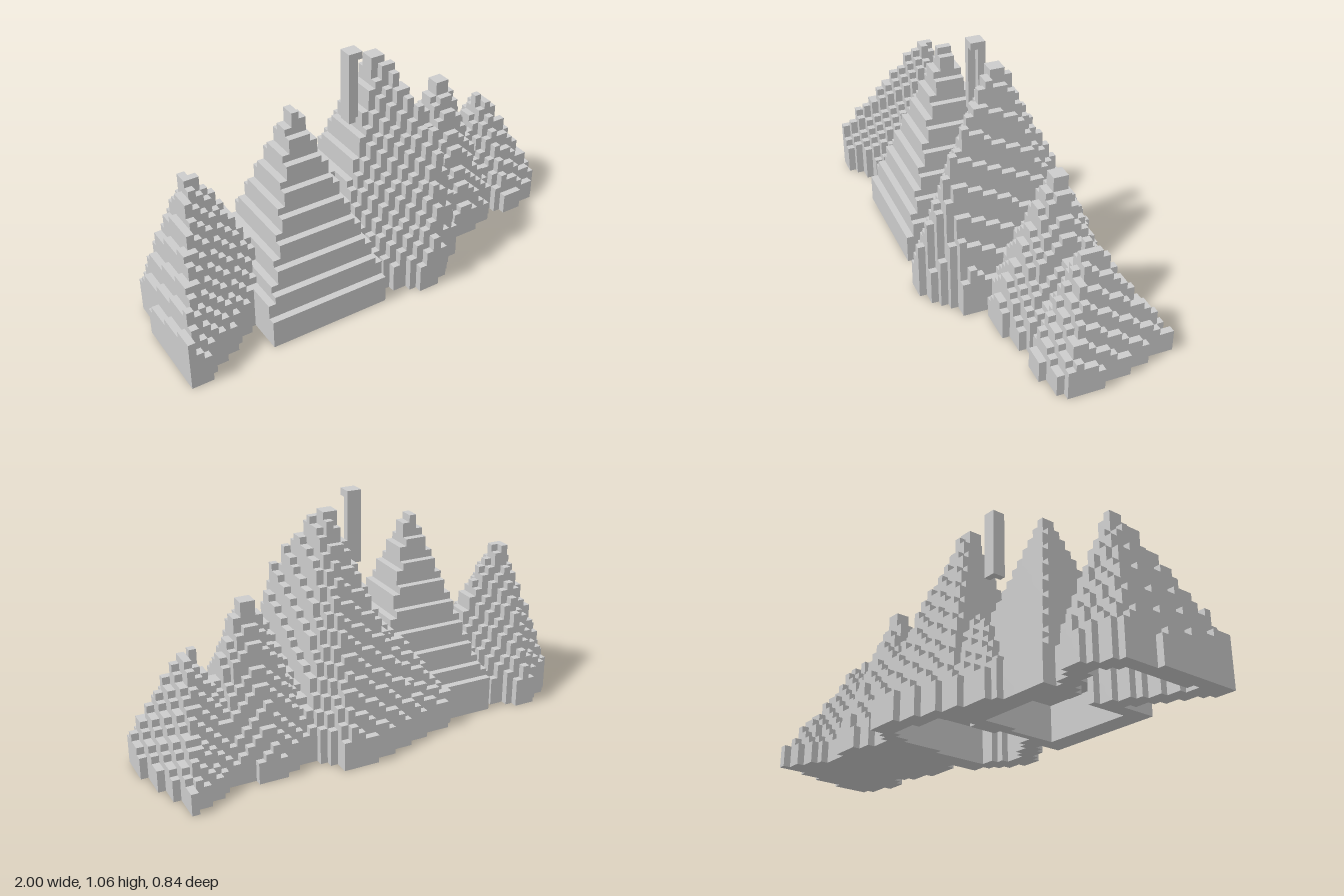
import * as THREE from 'three';

// Voxel grid: cells along x, y and z
const NX = 62, NY = 33, NZ = 26, S = 2 / NX;
const centre = (n, count) => (n + 0.5 - count / 2) * S;

// One sloping side of a mountain: facing angle from +x towards +z in degrees,
// distance of its foot from the peak, and slope
const side = (angle, reach, slope) => {
  const a = THREE.MathUtils.degToRad(angle);
  return { nx: Math.cos(a), nz: Math.sin(a), reach, slope };
};
const evenSides = (count, turn, reach, slope) =>
  Array.from({ length: count }, (_, n) => side(turn + (360 * n) / count, reach, slope));

// Peak position, peak height, height of the foot, and sides
const farRightMountain = {
  name: 'farRightMountain', x: -0.76, z: 0.04, h: 0.71, foot: 0.13, hollow: true,
  sides: [side(0, 0.32, 1.85), side(60, 0.235, 2.6), side(185, 0.2245, 3.1), side(237, 0.248, 2.7), side(303, 0.213, 2.8)],
};
const squareMountain = {
  name: 'squareMountain', x: -0.335, z: 0.095, h: 0.905, foot: 0.115, hollow: true,
  sides: evenSides(4, 0, 0.283, 2.95),
};
const tallMountain = {
  name: 'tallMountain', x: 0.1, z: 0.01, h: 1, foot: 0.12, hollow: true,
  sides: [side(352, 0.26, 3.75), side(53, 0.378, 11), side(124, 0.325, 3.1),
    side(180, 0.29, 3.2), side(253, 0.37, 2.4), side(319, 0.335, 2.75)],
};
const saddle = {
  name: 'saddle', x: -0.1, z: -0.05, h: 0.48, foot: 0.12, hollow: false,
  sides: [side(0, 0.3, 2), side(90, 0.25, 2), side(180, 0.29, 1.4), side(253, 0.255, 1.7)],
};
const roundMountain = {
  name: 'roundMountain', x: 0.515, z: -0.06, h: 0.745, foot: 0.1, hollow: false,
  sides: evenSides(8, 22, 0.25, 2.7),
};
const smallMountain = {
  name: 'smallMountain', x: 0.775, z: -0.08, h: 0.55, foot: 0.08, hollow: false,
  sides: [side(72, 0.24, 2.1), side(127, 0.18, 2.8), side(180, 0.21, 2.4),
    side(240, 0.235, 2.1), side(270, 0.36, 1.5), side(344, 0.2, 2.4)],
};
const mountains = [farRightMountain, squareMountain, tallMountain, saddle, roundMountain, smallMountain];

// Height of one mountain at a point, and how far inside its foot the point lies
function sample(m, x, z) {
  let h = m.h, inside = Infinity;
  for (const { nx, nz, reach, slope } of m.sides) {
    const gap = reach - nx * (x - m.x) - nz * (z - m.z);
    inside = Math.min(inside, gap);
    h = Math.min(h, m.foot + slope * gap);
  }
  return { h: inside < 0 ? 0 : h, inside };
}

// Filled cells: cell key to part name
const key = (i, j, k) => `${i},${j},${k}`;

function fillCells() {
  const cells = new Map();
  for (let i = 0; i < NX; i++) for (let k = 0; k < NZ; k++) {
    let best = 0, owner = '', bottom = 0;
    for (const m of mountains) {
      const s = sample(m, centre(i, NX), centre(k, NZ));
      if (s.h <= best) continue;
      best = s.h;
      owner = m.name;
      bottom = m.hollow && s.inside > 0.085 ? 5 : 0; // recess under the base
    }
    for (let j = bottom; j < Math.round(best / S); j++) cells.set(key(i, j, k), owner);
  }
  // Slim L-shaped spire beside the tall peak, with a square cap
  for (let j = 23; j < NY; j++) for (let a = 0; a < 2; a++) for (let b = 0; b < 2; b++) {
    if (j === NY - 1 || a * b === 0) cells.set(key(29 + a, j, 14 + b), 'spire');
  }
  return cells;
}

// Build the exposed faces of one part
function buildPart(cells, name, material) {
  const pos = [], index = [];
  const addFace = (c, axis, sign) => {
    const u = (axis + 1) % 3, v = (axis + 2) % 3, f = pos.length / 3;
    for (const [a, b] of [[0, 0], [1, 0], [1, 1], [0, 1]]) {
      const p = [...c];
      if (sign > 0) p[axis] += 1;
      p[u] += a;
      p[v] += b;
      pos.push((p[0] - NX / 2) * S, p[1] * S, (p[2] - NZ / 2) * S);
    }
    if (sign > 0) index.push(f, f + 1, f + 2, f, f + 2, f + 3);
    else index.push(f, f + 2, f + 1, f, f + 3, f + 2);
  };
  for (const [at, owner] of cells) {
    if (owner !== name) continue;
    const c = at.split(',').map(Number);
    for (let axis = 0; axis < 3; axis++) for (const sign of [-1, 1]) {
      const next = [...c];
      next[axis] += sign;
      if (!cells.has(key(...next))) addFace(c, axis, sign);
    }
  }
  const geo = new THREE.BufferGeometry();
  geo.setAttribute('position', new THREE.Float32BufferAttribute(pos, 3));
  geo.setIndex(index);
  geo.computeVertexNormals();
  const mesh = new THREE.Mesh(geo, material);
  mesh.name = name;
  return mesh;
}

export function createModel() {
  const group = new THREE.Group();
  group.name = 'mountainRange';
  const material = new THREE.MeshStandardMaterial({ color: 0xcccccc, flatShading: true });
  const cells = fillCells();
  for (const name of [...mountains.map((m) => m.name), 'spire']) group.add(buildPart(cells, name, material));
  return group;
}
